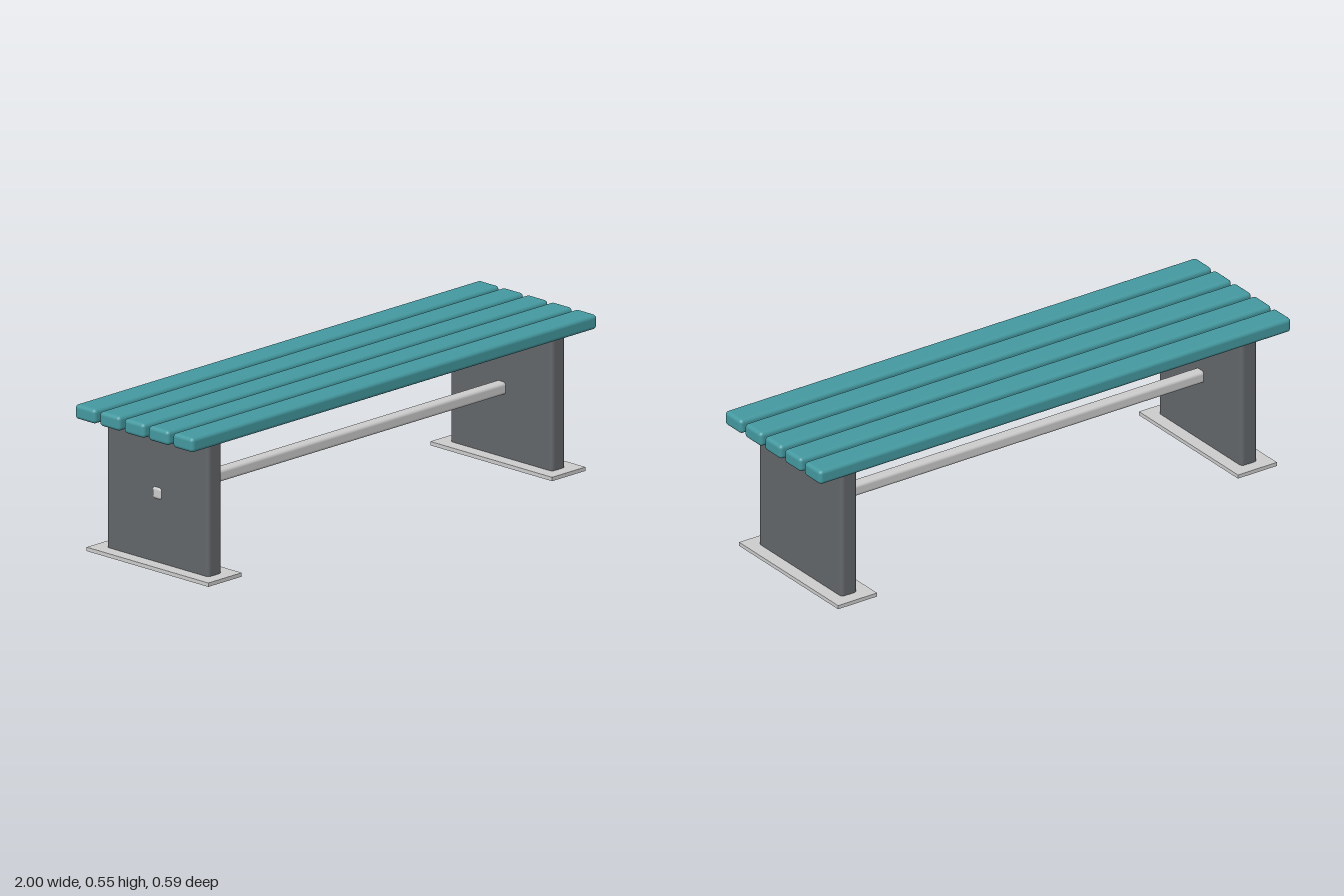
import * as THREE from 'three';
import { RoundedBoxGeometry } from 'three/addons/geometries/RoundedBoxGeometry.js';

const material = (color) => new THREE.MeshStandardMaterial({ color });

export function createModel() {
  const bench = new THREE.Group();
  bench.name = 'bench';
  const teal = material(0x4499a0);
  const darkGrey = material(0x63666a);
  const steel = material(0xc4c6c8);

  const add = (name, geometry, mat, x, y, z) => {
    const mesh = new THREE.Mesh(geometry, mat);
    mesh.name = name;
    mesh.position.set(x, y, z);
    bench.add(mesh);
  };

  // Five rounded seat slats
  const slat = new RoundedBoxGeometry(2, 0.053, 0.099, 3, 0.014);
  for (let i = -2; i <= 2; i++) add('seatSlat', slat, teal, 0, 0.5225, i * 0.118);

  // Side panels standing on flat floor plates
  const panel = new RoundedBoxGeometry(0.068, 0.492, 0.494, 3, 0.014);
  const plate = new THREE.BoxGeometry(0.165, 0.014, 0.588);
  for (const side of [-1, 1]) {
    add('sidePanel', panel, darkGrey, side * 0.848, 0.249, 0);
    add('floorPlate', plate, steel, side * 0.848, 0.007, 0);
  }

  // Cross rail; its right end pokes slightly through the panel
  const start = -0.888, end = 0.86;
  const rail = new RoundedBoxGeometry(end - start, 0.045, 0.045, 3, 0.012);
  add('crossRail', rail, steel, (start + end) / 2, 0.264, 0);

  return bench;
}
